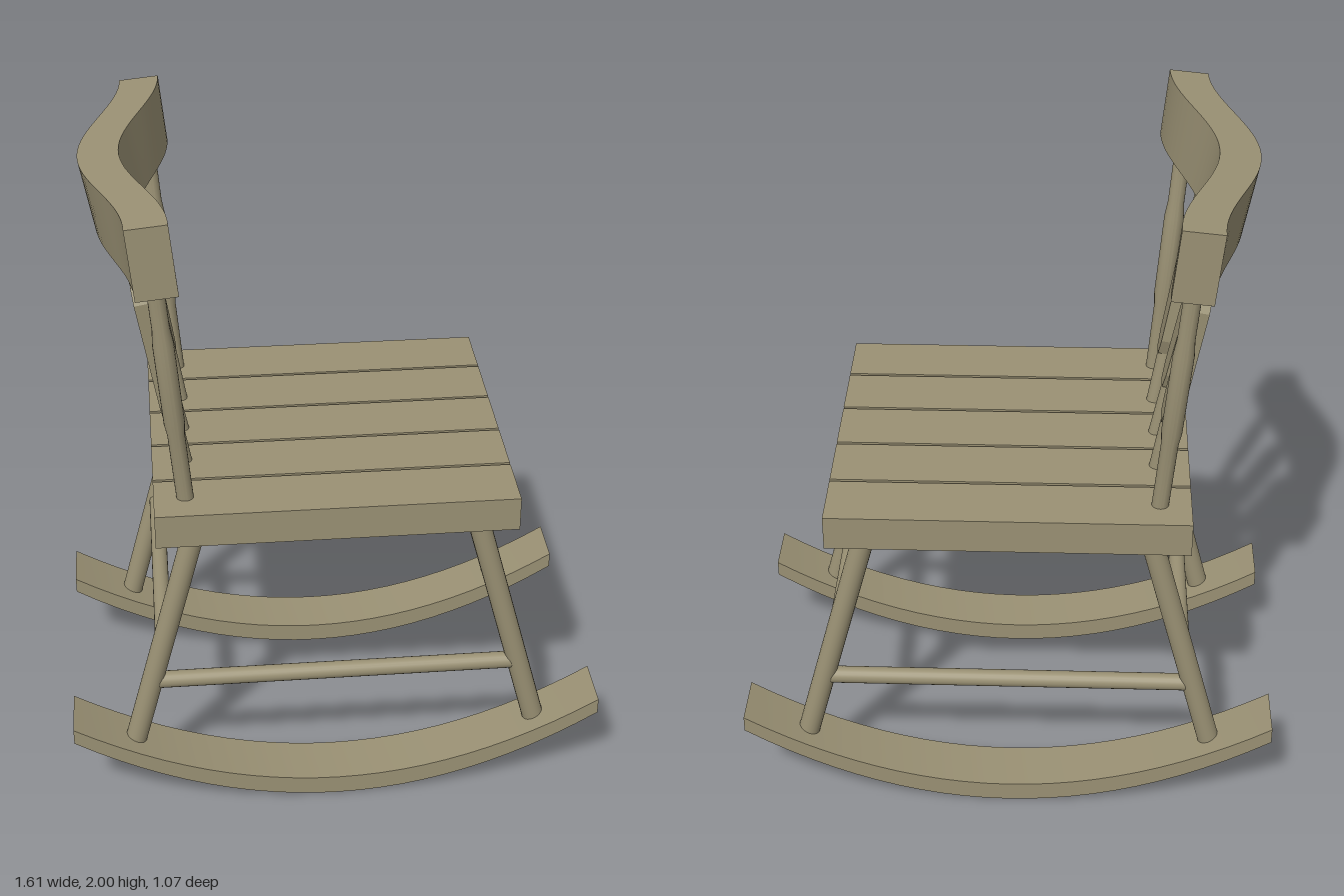
import * as THREE from 'three';
import { toCreasedNormals } from 'three/addons/utils/BufferGeometryUtils.js';

const UP = new THREE.Vector3(0, 1, 0);
const MID = -0.025; // middle of the seat and base in z

export function createModel() {
  const chair = new THREE.Group();
  chair.name = 'rockingChair';
  const wood = new THREE.MeshStandardMaterial({ color: 0x9a9174 });

  function add(name, geometry, parent = chair) {
    const mesh = new THREE.Mesh(geometry, wood);
    mesh.name = name;
    parent.add(mesh);
    return mesh;
  }

  // Group whose y axis runs from point a to point b
  function axisGroup(name, a, b) {
    const from = new THREE.Vector3(...a);
    const dir = new THREE.Vector3(...b).sub(from);
    const group = new THREE.Group();
    group.name = name;
    group.position.copy(from);
    group.userData.length = dir.length();
    group.quaternion.setFromUnitVectors(UP, dir.normalize());
    chair.add(group);
    return group;
  }

  function rod(name, a, b, radius) {
    const group = axisGroup(name, a, b);
    const length = group.userData.length;
    const geometry = new THREE.CylinderGeometry(radius, radius, length, 20);
    add(name + 'Rod', geometry.translate(0, length / 2, 0), group);
    return group;
  }

  // Seat slats
  for (let i = -2; i <= 2; i++) {
    add('seatSlat', new THREE.BoxGeometry(1.055, 0.105, 0.19))
      .position.set(-0.002, 1.01, MID + i * 0.2);
  }

  // Curved rockers
  const arc = new THREE.Shape();
  arc.moveTo(-0.805, 0.305);
  arc.lineTo(-0.805, 0.255);
  arc.quadraticCurveTo(0, -0.255, 0.805, 0.255);
  arc.lineTo(0.805, 0.305);
  arc.quadraticCurveTo(0, -0.185, -0.805, 0.305);
  const rockerGeometry = toCreasedNormals(
    new THREE.ExtrudeGeometry(arc, { depth: 0.17, bevelEnabled: false, curveSegments: 24 }), 0.5);
  rockerGeometry.translate(0, 0, -0.085);

  for (const side of [-1, 1]) {
    const z = MID + side * 0.4;
    add('rocker', rockerGeometry).position.z = z;
    // Splayed legs and the stretcher between them
    for (const end of [-1, 1]) {
      rod('leg', [end * 0.626, 0.17, z], [end * 0.408, 0.98, z], 0.033);
    }
    rod('sideStretcher', [-0.56, 0.415, z], [0.56, 0.415, z], 0.026);
  }

  // Front and back stretchers
  for (const end of [-1, 1]) {
    rod('crossStretcher', [end * 0.521, 0.56, MID - 0.4], [end * 0.521, 0.56, MID + 0.4], 0.025);
  }

  // Turned outer spindles
  const turned = [[0, 0], [0.025, 0], [0.025, 0.28], [0.03, 0.32], [0.03, 0.58],
    [0.025, 0.63], [0.025, 0.83], [0, 0.83]].map(([r, y]) => new THREE.Vector2(r, y));
  const turnedGeometry = toCreasedNormals(new THREE.LatheGeometry(turned, 20), 0.6);
  for (const side of [-1, 1]) {
    const spindle = axisGroup('outerSpindle',
      [-0.433, 1.0, MID + side * 0.388], [-0.502, 1.82, MID + side * 0.433]);
    add('turnedSpindle', turnedGeometry, spindle);
  }

  // Flat-bladed inner spindles
  const blade = new THREE.Shape([[-0.025, 0.235], [0.025, 0.235], [0.043, 0.285], [0.051, 0.635],
    [0.025, 0.68], [-0.025, 0.68], [-0.051, 0.635], [-0.043, 0.285]]
    .map(([x, y]) => new THREE.Vector2(x, y)));
  const bladeGeometry = new THREE.ExtrudeGeometry(blade, { depth: 0.052, bevelEnabled: false });
  bladeGeometry.translate(0, 0, -0.026).rotateY(Math.PI / 2);
  for (let i = -1; i <= 1; i++) {
    const spindle = rod('innerSpindle', [-0.425, 1.0, MID + i * 0.183],
      [i ? -0.565 : -0.59, 1.82, MID + i * 0.226], 0.025);
    add('spindleBlade', bladeGeometry, spindle);
  }

  // Top rail: a box bowed backwards, leaning further at its middle
  const rail = new THREE.BoxGeometry(0.117, 0.21, 1.065, 1, 1, 32);
  const p = rail.attributes.position;
  for (let i = 0; i < p.count; i++) {
    const bow = 0.5 + 0.5 * Math.cos(Math.PI * p.getZ(i) / 0.5325);
    p.setX(i, p.getX(i) - bow * (0.115 + 0.09 * p.getY(i)));
  }
  const topRail = add('topRail', toCreasedNormals(rail, 0.6));
  topRail.position.set(-0.503, 1.889, 0);
  topRail.rotation.z = 0.1;

  return chair;
}
